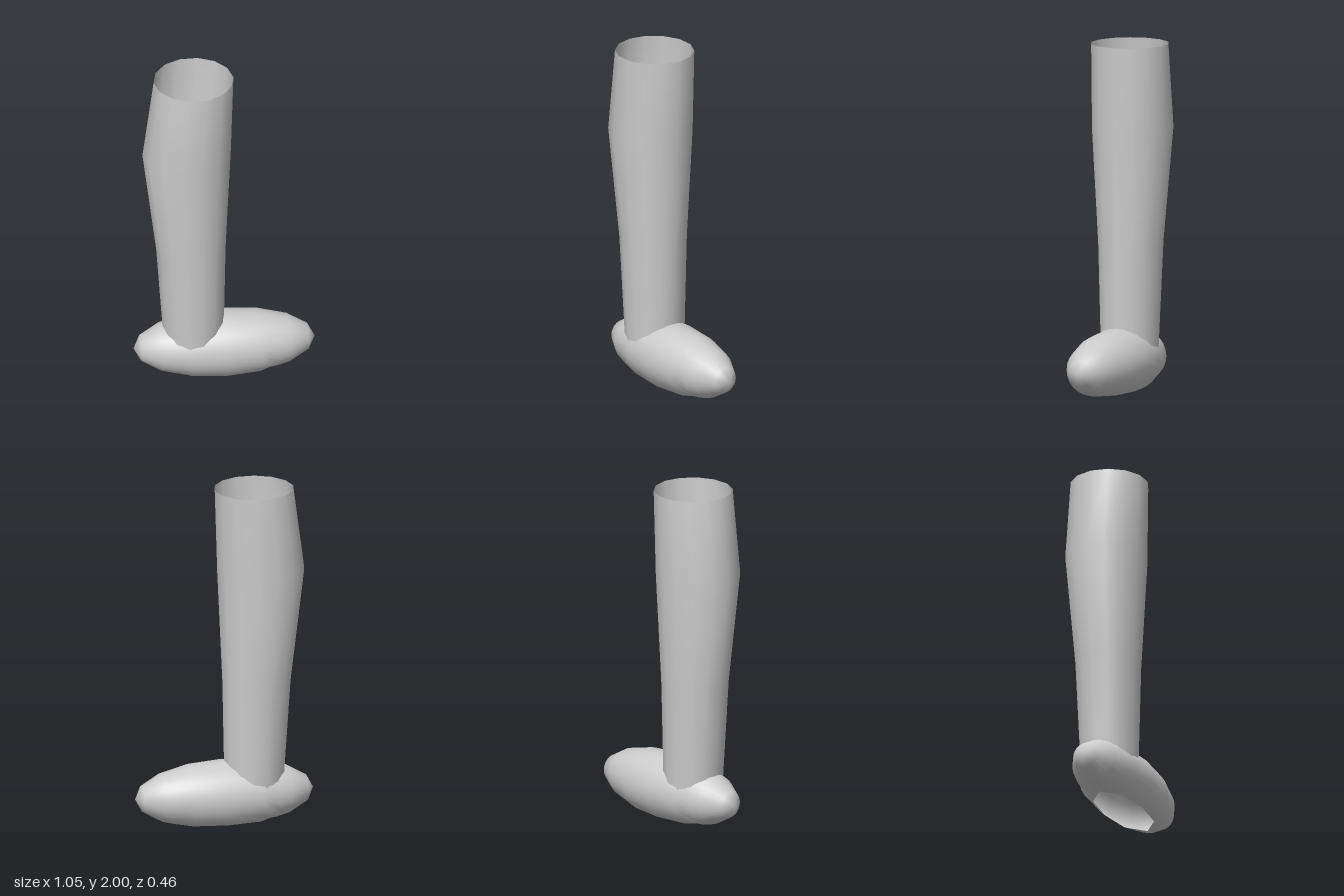
import * as THREE from 'three';

// Skin between successive rings of points; `closed` joins the ends of each ring
function loft(rings, closed) {
  const n = rings[0].length, index = [];
  for (let i = 0; i < rings.length - 1; i++) {
    for (let j = 0; j < (closed ? n : n - 1); j++) {
      const k = (j + 1) % n;
      const a = i * n + j, b = i * n + k, c = a + n, d = b + n;
      index.push(a, c, b, b, c, d);
    }
  }
  const geometry = new THREE.BufferGeometry().setFromPoints(rings.flat());
  geometry.setIndex(index);
  geometry.computeVertexNormals();
  return geometry;
}

// Open tapered tube, bulging at the calf
function legGeometry() {
  const sides = 14;
  const sections = [ // y, min x, max x, half depth
    [0.18, -0.35, -0.003, 0.168],
    [0.84, -0.395, 0.01, 0.19],
    [1.5, -0.475, 0.04, 0.235],
    [2.0, -0.41, 0.055, 0.227],
  ];
  return loft(sections.map(([y, x0, x1, depth]) =>
    Array.from({ length: sides }, (_, j) => {
      const a = (j / sides) * Math.PI * 2;
      return new THREE.Vector3((x0 + x1) / 2 + (x1 - x0) / 2 * Math.cos(a), y, depth * Math.sin(a));
    })), true);
}

// Long ellipsoid sliced open at the ground
function footGeometry() {
  const length = 0.527, radius = 0.199, height = 0.158, steps = 24;
  const profile = [];
  for (let i = 0; i <= 8; i++) {
    const t = (i / 8) * Math.PI;
    profile.push([-length * Math.cos(t), radius * Math.sin(t)]);
  }
  // Extra rings where the slice begins and ends
  profile.splice(3, 0, [-0.305, height]);
  profile.splice(7, 0, [0.305, height]);
  const geometry = loft(profile.map(([x, r]) => {
    const reach = r > height ? Math.acos(-height / r) : Math.PI;
    return Array.from({ length: steps + 1 }, (_, j) => {
      const a = (j / steps * 2 - 1) * reach;
      return new THREE.Vector3(x, height + r * Math.cos(a), -r * Math.sin(a));
    });
  }), false);
  // Smooth ellipsoid normals
  const p = geometry.attributes.position, v = new THREE.Vector3();
  for (let i = 0; i < p.count; i++) {
    v.set(p.getX(i) / length ** 2, (p.getY(i) - height) / radius ** 2, p.getZ(i) / radius ** 2).normalize();
    geometry.attributes.normal.setXYZ(i, v.x, v.y, v.z);
  }
  return geometry;
}

export function createModel() {
  const group = new THREE.Group();
  group.name = 'lowerLeg';
  const grey = new THREE.MeshStandardMaterial({ color: 0xcccccc, side: THREE.DoubleSide });
  grey.name = 'light grey';

  const leg = new THREE.Mesh(legGeometry(), grey);
  leg.name = 'leg';
  const foot = new THREE.Mesh(footGeometry(), grey);
  foot.name = 'foot';
  group.add(leg, foot);
  return group;
}
